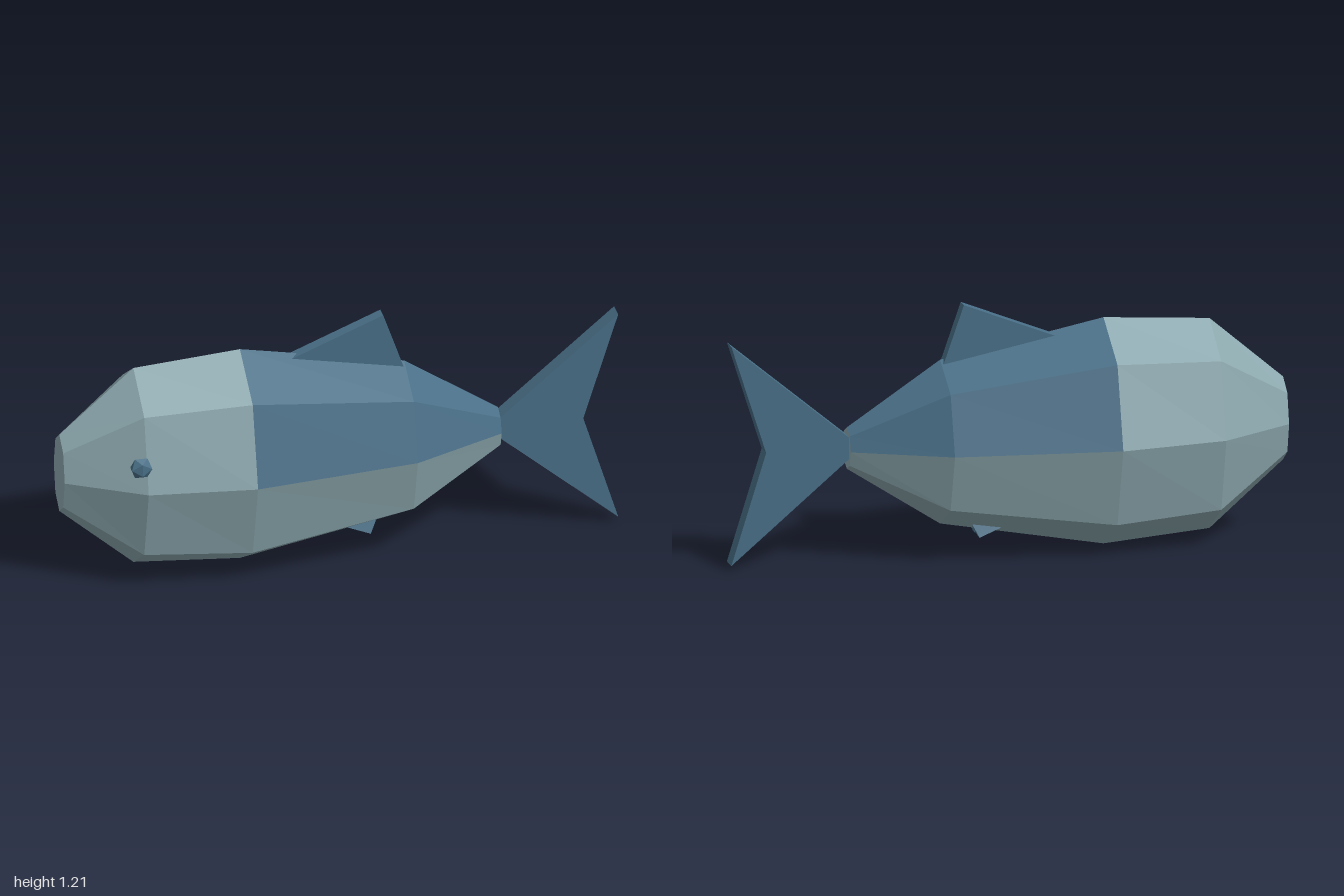
import * as THREE from 'three';

export function createModel() {
  const mat = (name, color) => {
    const m = new THREE.MeshStandardMaterial({ color, flatShading: true });
    m.name = name;
    return m;
  };
  const grey = mat('paleGreyBlue', 0x8ca8ae);
  const blue = mat('deepBlue', 0x486e86);

  // Local frame: x runs from nose to tail, z across the body
  const fish = new THREE.Group();
  fish.name = 'fish';
  const add = (name, geometry, material) => {
    const mesh = new THREE.Mesh(geometry, material);
    mesh.name = name;
    fish.add(mesh);
    return mesh;
  };

  // Octagonal body rings: position, half height, half width
  const midY = 0.55, sides = 8;
  const rings = [
    [-1.294, 0.2, 0.113],
    [-0.94, 0.508, 0.318],
    [-0.431, 0.547, 0.375],
    [0.354, 0.396, 0.283],
    [0.802, 0.1, 0.078],
  ];
  const point = (r, i) => {
    const a = (i / sides) * Math.PI * 2;
    return [rings[r][0], midY + rings[r][1] * Math.cos(a), rings[r][2] * Math.sin(a)];
  };
  const skin = [], back = [];
  for (let i = 0; i < sides; i++) {
    for (let r = 0; r < rings.length - 1; r++) {
      const upper = i < 2 || i > 5;
      const a = point(r, i), b = point(r + 1, i), c = point(r + 1, i + 1), d = point(r, i + 1);
      (upper && r > 1 ? back : skin).push(...a, ...d, ...c, ...a, ...c, ...b);
    }
    // Flat nose and tail-root caps
    const last = rings.length - 1;
    skin.push(rings[0][0], midY, 0, ...point(0, i + 1), ...point(0, i));
    skin.push(rings[last][0], midY, 0, ...point(last, i), ...point(last, i + 1));
  }
  const facets = (list) => {
    const g = new THREE.BufferGeometry();
    g.setAttribute('position', new THREE.Float32BufferAttribute(list, 3));
    g.computeVertexNormals();
    return g;
  };
  add('headAndBelly', facets(skin), grey);
  add('back', facets(back), blue);

  // Flat fins cut from an outline
  const plate = (outline, thickness) => {
    const shape = new THREE.Shape(outline.map(([x, y]) => new THREE.Vector2(x, y)));
    return new THREE.ExtrudeGeometry(shape, { depth: thickness, bevelEnabled: false })
      .translate(0, 0, -thickness / 2);
  };
  add('dorsalFin', plate([[-0.22, 1.02], [0.355, 0.9], [0.247, 1.21]], 0.06), blue);
  add('tailFin', plate([[0.74, 0.56], [1.367, 0.03], [1.2, 0.565], [1.367, 1.09]], 0.085), blue);

  // Small belly fins, splayed outward toward their tips
  for (const side of [1, -1]) {
    const g = plate([[0.04, 0.14], [0.18, 0.09], [0.225, 0.18]], 0.04);
    const p = g.attributes.position;
    for (let i = 0; i < p.count; i++) {
      p.setZ(i, p.getZ(i) + side * (0.044 - 0.35 * (p.getY(i) - 0.09)));
    }
    g.computeVertexNormals();
    add(side > 0 ? 'bellyFinA' : 'bellyFinB', g, blue);
  }

  // Single faceted eye
  const eye = add('eye', new THREE.IcosahedronGeometry(0.057, 0), blue);
  eye.position.set(-0.973, 0.69, 0.305);
  eye.scale.z = 0.65;

  // Turn the fish diagonally
  fish.rotation.y = Math.PI / 4;
  const model = new THREE.Group();
  model.add(fish);
  return model;
}
